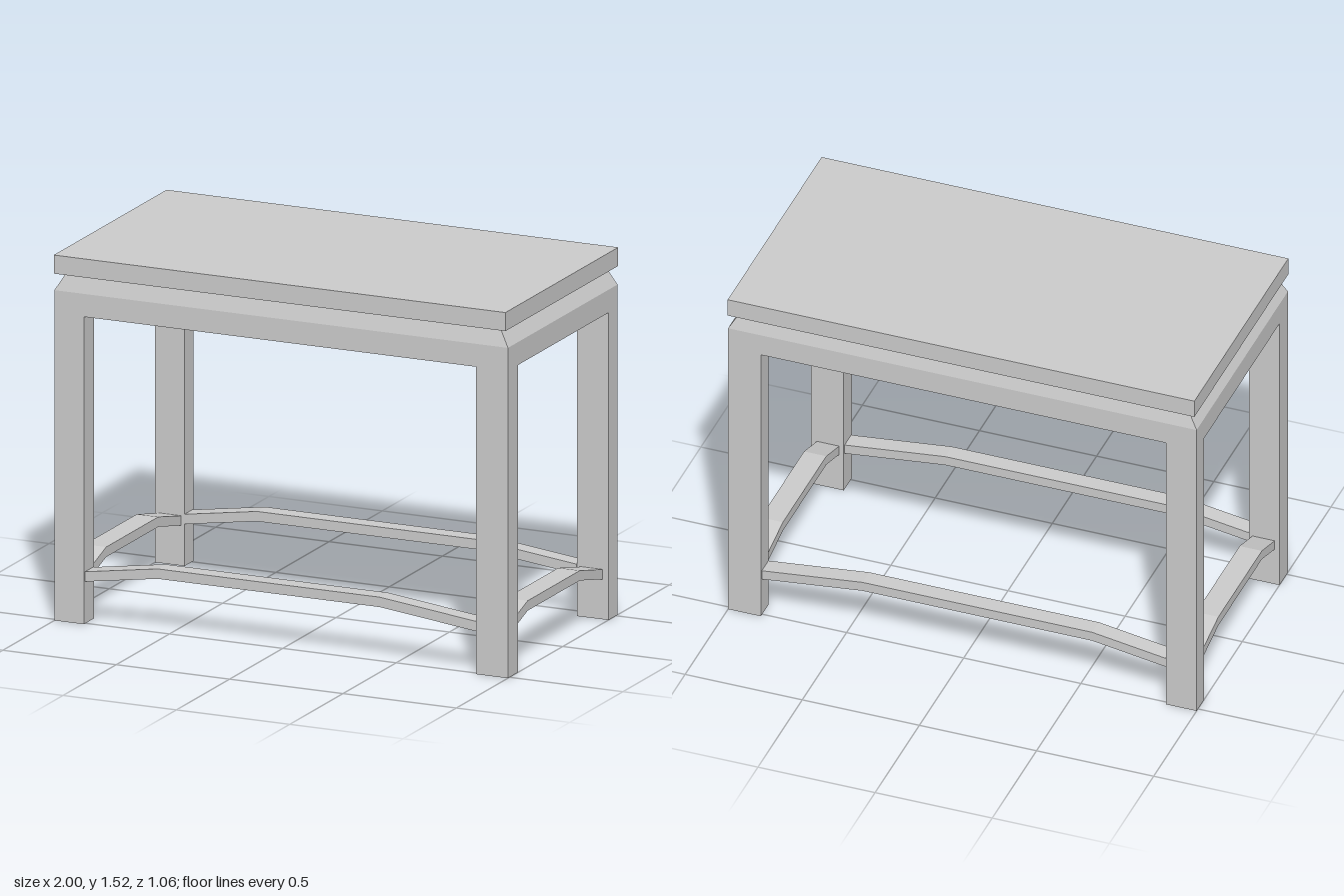
import * as THREE from 'three';

const material = new THREE.MeshStandardMaterial({ color: 0xcccccc, flatShading: true });

function add(parent, name, geometry) {
  const mesh = new THREE.Mesh(geometry, material);
  mesh.name = name;
  parent.add(mesh);
  return mesh;
}

// Box given by its lower and upper corners
function boxBetween(x0, y0, z0, x1, y1, z1) {
  return new THREE.BoxGeometry(x1 - x0, y1 - y0, z1 - z0)
    .translate((x0 + x1) / 2, (y0 + y1) / 2, (z0 + z1) / 2);
}

// Humped bar: top line of [along, height] points, constant thickness, extruded over its width
function humpedBar(topLine, thickness, width) {
  const lower = topLine.map(([a, y]) => [a, y - thickness]);
  const outline = [...lower, ...topLine.slice().reverse()];
  const shape = new THREE.Shape(outline.map(([a, y]) => new THREE.Vector2(a, y)));
  return new THREE.ExtrudeGeometry(shape, { depth: width, bevelEnabled: false })
    .translate(0, 0, -width / 2);
}

export function createModel() {
  const table = new THREE.Group();
  table.name = 'table';

  // Table top
  add(table, 'tableTop', boxBetween(-0.996, 1.443, -0.53, 0.996, 1.52, 0.53));

  // Solid apron with a sloped neck under the top
  add(table, 'apron', boxBetween(-1, 1.275, -0.515, 1, 1.37, 0.515));
  const neck = boxBetween(-1, 1.37, -0.515, 1, 1.443, 0.515);
  const p = neck.attributes.position;
  for (let i = 0; i < p.count; i++) {
    if (p.getY(i) > 1.4) {
      p.setX(i, Math.sign(p.getX(i)) * 0.957);
      p.setZ(i, Math.sign(p.getZ(i)) * 0.495);
    }
  }
  neck.computeVertexNormals();
  add(table, 'slopedNeck', neck);

  // Four legs, flush with the apron's corners
  for (const [side, x0, x1] of [['Right', -1, -0.87], ['Left', 0.86, 1]]) {
    for (const [end, z0, z1] of [['front', 0.42, 0.515], ['back', -0.515, -0.43]]) {
      add(table, `${end}${side}Leg`, boxBetween(x0, 0, z0, x1, 1.275, z1));
    }
  }

  // Long stretchers along the front and back
  const longLine = [[-0.87, 0.215], [-0.55, 0.265], [0.43, 0.265], [0.86, 0.215]];
  for (const [name, z] of [['frontStretcher', 0.467], ['backStretcher', -0.467]]) {
    add(table, name, humpedBar(longLine, 0.041, 0.075)).position.z = z;
  }

  // Short stretchers along the sides
  const shortLine = [[-0.43, 0.207], [-0.215, 0.257], [0.275, 0.257], [0.42, 0.211]];
  for (const [name, x] of [['rightStretcher', -0.932], ['leftStretcher', 0.927]]) {
    const bar = humpedBar(shortLine, 0.041, 0.095).rotateY(-Math.PI / 2);
    add(table, name, bar).position.x = x;
  }

  return table;
}
